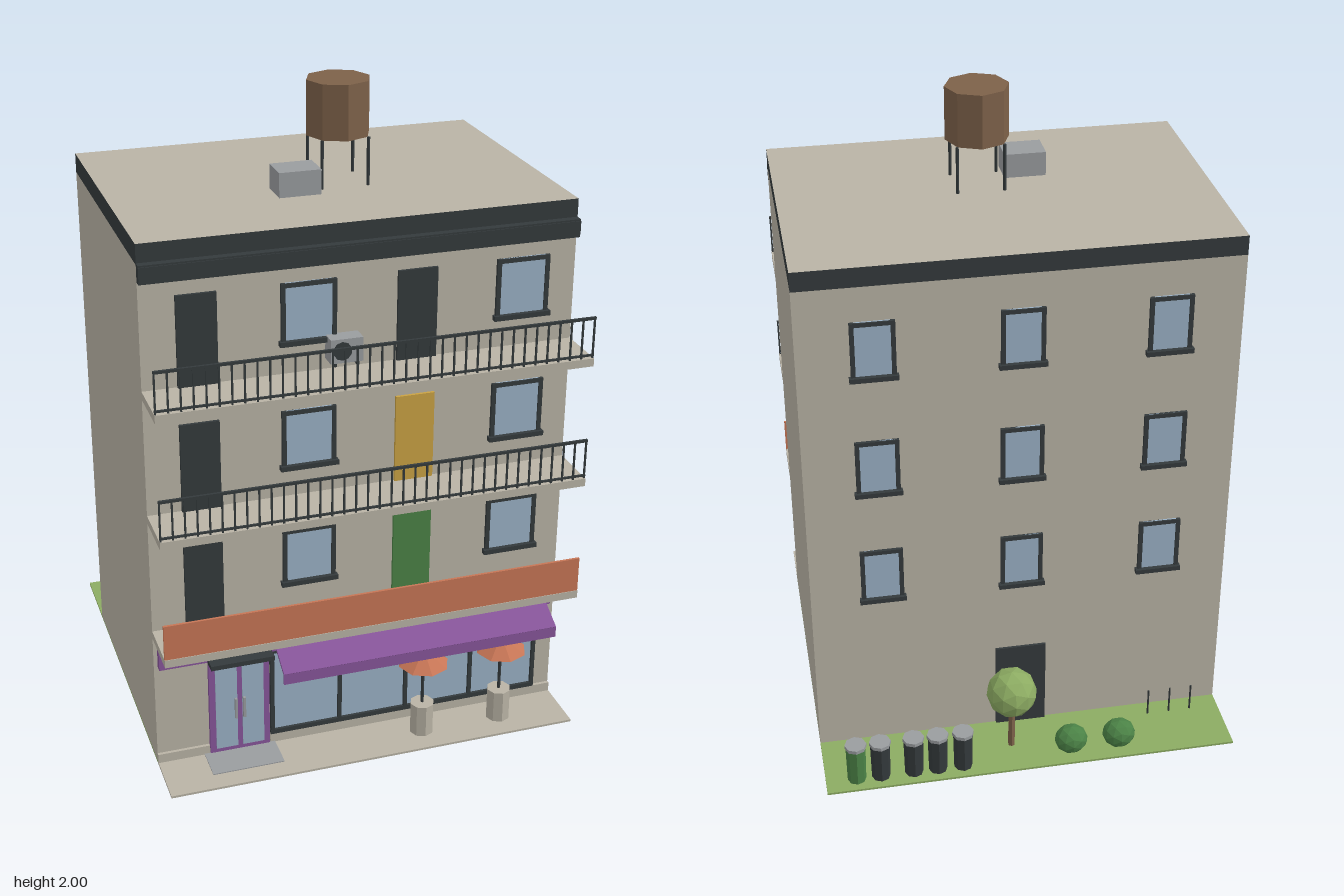
import * as THREE from 'three';

const mat = (name, color, extra = {}) => {
  const m = new THREE.MeshStandardMaterial({ color, ...extra });
  m.name = name;
  return m;
};

export function createModel() {
  const root = new THREE.Group();
  root.name = 'apartmentBuilding';
  const stone = mat('stone', 0xb9b3a5), dark = mat('charcoal', 0x343a3c), glass = mat('glass', 0x9ab1c5);
  const purple = mat('purple', 0x87559a), clay = mat('terracotta', 0xc67555), yellow = mat('yellow', 0xc9a243);
  const green = mat('darkGreen', 0x4b8246), leaf = mat('leafGreen', 0x8cab62);
  const brown = mat('wood', 0x7d6149), grey = mat('grey', 0x999c9f);
  [stone, dark, glass, purple, clay, yellow, green, leaf, brown, grey].forEach(m => { m.flatShading = true; });

  const add = (name, geo, m, x = 0, y = 0, z = 0, parent = root) => {
    const mesh = new THREE.Mesh(geo, m);
    mesh.name = name;
    mesh.position.set(x, y, z);
    parent.add(mesh);
    return mesh;
  };
  // Box given by its limits on each axis
  const box = (name, m, x0, x1, y0, y1, z0, z1, parent = root) =>
    add(name, new THREE.BoxGeometry(x1 - x0, y1 - y0, z1 - z0), m, (x0 + x1) / 2, (y0 + y1) / 2, (z0 + z1) / 2, parent);
  // Upright cylinder given by its bottom and top
  const post = (name, m, x, z, y0, y1, r, sides = 6, r1 = r) =>
    add(name, new THREE.CylinderGeometry(r1, r, y1 - y0, sides), m, x, (y0 + y1) / 2, z);

  const F = 0.467, B = -0.415, W = 0.65;

  // Ground
  box('lawn', leaf, -W, W, 0.006, 0.013, -0.648, F);
  box('pavement', stone, -W, W, 0.006, 0.013, F, 0.648);
  box('doorStep', grey, -0.505, -0.28, 0, 0.016, F, 0.585);

  // Main block, dark roof band and cornice
  box('walls', stone, -W, W, 0.012, 1.63, B, F);
  box('roofBand', [dark, dark, stone, dark, dark, dark], -W, W, 1.63, 1.69, B, F);
  box('cornice', dark, -W, W, 1.58, 1.635, F, 0.49);
  box('cornice lip', dark, -W, W, 1.59, 1.63, 0.49, 0.493);
  box('plinth', stone, -W, -0.487, 0.013, 0.043, F, 0.477);
  box('plinth', stone, -0.293, W, 0.013, 0.043, F, 0.477);

  // Framed window with a sill, facing +z in its own frame
  const windowUnit = (x, y, z, w, h, back) => {
    const g = new THREE.Group();
    g.name = 'window';
    g.position.set(x, y, z);
    if (back) g.rotation.y = Math.PI;
    const t = 0.013, d = 0.01;
    box('pane', glass, -w / 2 + t, w / 2 - t, t, h, 0, 0.005, g);
    box('frameTop', dark, -w / 2, w / 2, h - t, h, 0, d, g);
    for (const s of [-1, 1]) {
      const c = s * (w - t) / 2;
      box('frameSide', dark, c - t / 2, c + t / 2, 0, h - t, 0, d, g);
    }
    box('sill', dark, -w / 2 - 0.006, w / 2 + 0.006, -0.002, t, 0, 0.019, g);
    root.add(g);
  };

  // Upper floors: doors, windows and balconies
  const floors = [[0.479, green], [0.866, yellow], [1.257, dark]];
  floors.forEach(([y, doorColor], i) => {
    box('balconyDoor', dark, -0.548, -0.431, y, y + 0.275, F, F + 0.009);
    box('balconyDoor', doorColor, 0.1, 0.22, y, y + 0.275, F, F + 0.009);
    for (const x of [-0.165, 0.485]) windowUnit(x, y + 0.09, F, 0.164, 0.185, false);
    for (const x of [-0.433, 0, 0.43]) windowUnit(x, y + 0.08, B, 0.13, 0.185, true);
    box('balconySlab', stone, -W, W, y - 0.025, y, F, 0.632);
    if (i === 0) {
      box('balconyPanel', clay, -W, W, y, y + 0.112, 0.622, 0.63);
      return;
    }
    box('railTop', dark, -W, W, y + 0.12, y + 0.128, 0.622, 0.63);
    box('railBottom', dark, -W, W, y + 0.006, y + 0.012, 0.623, 0.629);
    const n = 36;
    for (let k = 0; k <= n; k++) {
      const x = -W + 0.003 + (2 * W - 0.006) * k / n;
      box('baluster', dark, x - 0.0025, x + 0.0025, y, y + 0.122, 0.6235, 0.6285);
    }
  });

  // Air conditioner on the top floor
  box('airConditioner', grey, -0.115, -0.018, 1.29, 1.363, F, 0.518);
  add('fan', new THREE.CylinderGeometry(0.028, 0.028, 0.005, 10), dark, -0.08, 1.327, 0.519).rotation.x = Math.PI / 2;
  for (const x of [-0.1, -0.033]) box('bracket', dark, x - 0.004, x + 0.004, 1.28, 1.29, F, 0.518);

  // Shop fascia and sloping awning
  box('fascia', purple, -0.638, 0.63, 0.352, 0.426, F, 0.489);
  const slope = Math.atan2(0.06, 0.115);
  const awning = add('awning', new THREE.BoxGeometry(0.886, 0.008, 0.13), purple, 0.16, 0.363, 0.538);
  awning.rotation.x = slope;
  box('awningValance', purple, -0.283, 0.603, 0.3, 0.337, 0.59, 0.597);

  // Shop window
  box('shopGlass', glass, -0.285, 0.585, 0.055, 0.35, F, 0.472);
  box('shopFrameBottom', dark, -0.293, 0.592, 0.045, 0.06, F, 0.481);
  box('shopFrameTop', dark, -0.293, 0.592, 0.338, 0.352, F, 0.481);
  for (let k = 0; k < 5; k++) {
    const x = -0.286 + k * 0.218;
    box('shopMullion', dark, x - 0.006, x + 0.006, 0.06, 0.338, F, 0.481);
  }

  // Entrance
  box('entranceFrame', purple, -0.486, -0.296, 0.013, 0.348, F, 0.48);
  for (const s of [-1, 1]) {
    const x = -0.391 + s * 0.042;
    box('entrancePane', glass, x - 0.034, x + 0.034, 0.03, 0.327, 0.48, 0.483);
    box('entranceHandle', grey, -0.391 + s * 0.013 - 0.004, -0.391 + s * 0.013 + 0.004, 0.135, 0.205, 0.483, 0.492);
  }
  box('entranceCanopy', dark, -0.49, -0.293, 0.349, 0.364, F, 0.533);

  // Rear door
  box('rearDoor', dark, -0.08, 0.08, 0.013, 0.315, B - 0.008, B);

  // Parasols over barrel tables
  for (const x of [0.178, 0.437]) {
    post('barrelTable', stone, x, 0.555, 0.013, 0.118, 0.038, 8);
    post('parasolPole', dark, x, 0.555, 0.118, 0.3, 0.005);
    add('parasol', new THREE.ConeGeometry(0.08, 0.05, 8), clay, x, 0.287, 0.555);
  }

  // Water tank and roof box
  const tx = 0.043, tz = 0.092;
  post('waterTank', brown, tx, tz, 1.835, 2, 0.097, 8);
  for (const sx of [-1, 1]) for (const sz of [-1, 1])
    post('tankLeg', dark, tx + sx * 0.071, tz + sz * 0.071, 1.69, 1.836, 0.005);
  box('roofVent', grey, -0.171, -0.043, 1.69, 1.765, 0.108, 0.207);

  // Back garden: tree, bushes, stakes and bins
  post('treeTrunk', brown, 0.05, -0.53, 0.012, 0.17, 0.011);
  add('treeCrown', new THREE.IcosahedronGeometry(0.08, 1), leaf, 0.05, 0.227, -0.53);
  for (const x of [-0.286, -0.131])
    add('bush', new THREE.IcosahedronGeometry(0.053, 1), green, x, 0.06, -0.59).scale.set(1, 0.9, 0.88);
  for (const x of [-0.556, -0.486, -0.415]) post('stake', dark, x, -0.466, 0.012, 0.107, 0.003);
  [0.217, 0.297, 0.373, 0.477, 0.553].forEach((x, i) => {
    post('bin', i === 4 ? green : dark, x, -0.597, 0.012, 0.14, 0.029, 8, 0.031);
    post('binLid', grey, x, -0.597, 0.14, 0.152, 0.034, 8);
  });

  return root;
}
